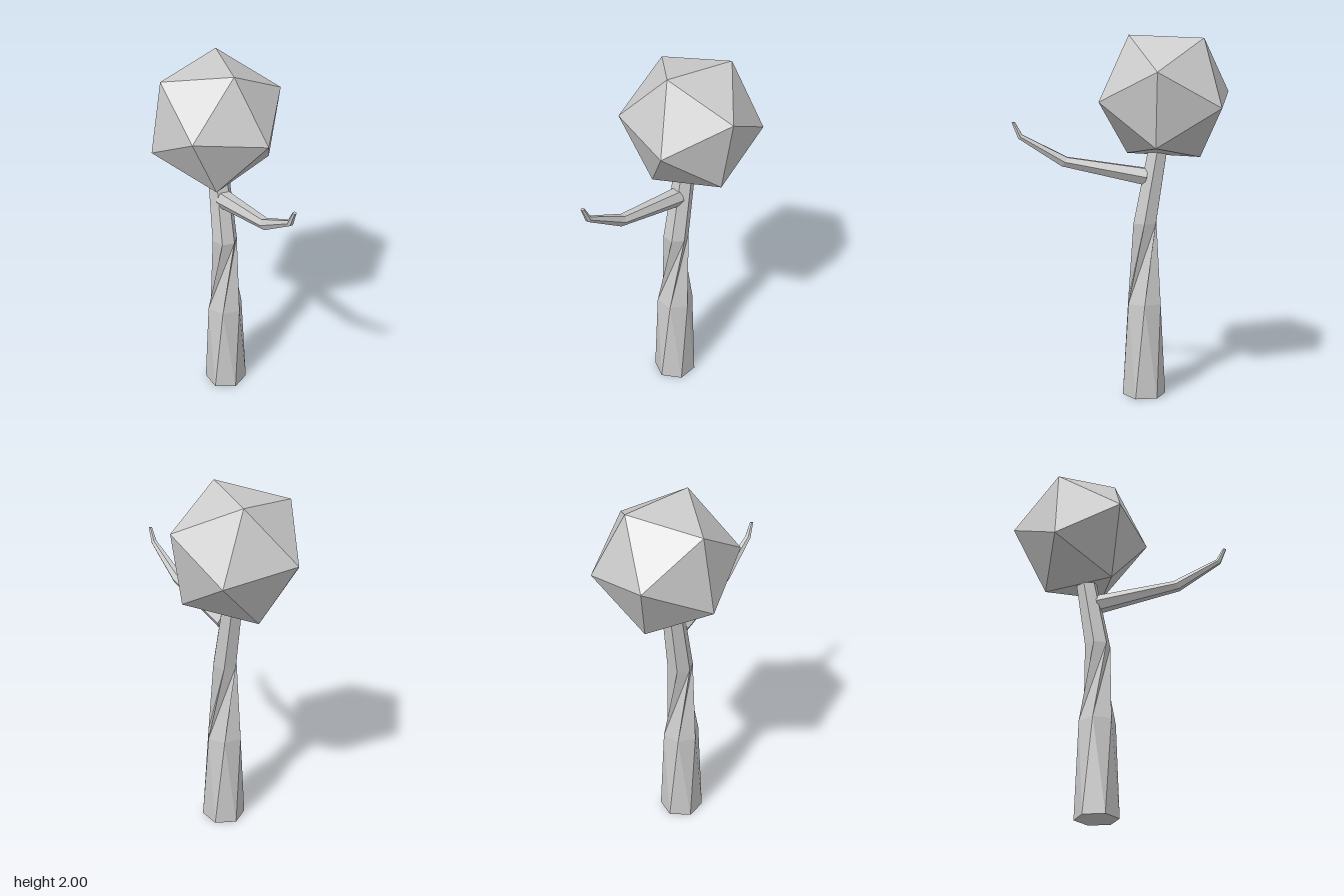
import * as THREE from 'three';

const SIDES = 6;
const material = () => new THREE.MeshStandardMaterial({ color: 0xcccccc, flatShading: true });

// Six-sided limb through rings { c: centre, r: radius, turn: degrees, tilt: of the ring's second axis }
function limb(name, rings, secondAxis) {
  const pos = [], index = [];
  for (const { c, r, turn = 0, tilt = 0 } of rings) {
    const v = secondAxis.clone().applyAxisAngle(new THREE.Vector3(1, 0, 0), tilt);
    for (let j = 0; j < SIDES; j++) {
      const a = THREE.MathUtils.degToRad(turn) + (j / SIDES) * Math.PI * 2;
      const s = r * Math.sin(a);
      pos.push(c[0] + r * Math.cos(a), c[1] + s * v.y, c[2] + s * v.z);
    }
  }
  const last = (rings.length - 1) * SIDES;
  for (let i = 0; i < last; i += SIDES) {
    for (let j = 0; j < SIDES; j++) {
      const k = (j + 1) % SIDES;
      const a = i + j, b = i + k, c = a + SIDES, d = b + SIDES;
      index.push(a, c, b, b, c, d);
    }
  }
  // end caps
  for (let j = 1; j < SIDES - 1; j++) {
    index.push(0, j, j + 1, last, last + j + 1, last + j);
  }
  const indexed = new THREE.BufferGeometry();
  indexed.setAttribute('position', new THREE.Float32BufferAttribute(pos, 3));
  indexed.setIndex(index);
  const geometry = indexed.toNonIndexed();
  geometry.computeVertexNormals();
  const mesh = new THREE.Mesh(geometry, material());
  mesh.name = name;
  return mesh;
}

export function createModel() {
  const tree = new THREE.Group();
  tree.name = 'tree';

  // Twisted trunk, leaning back near the top
  tree.add(limb('trunk', [
    { c: [-0.01, 0, -0.12], r: 0.12, turn: -30 },
    { c: [-0.012, 0.53, -0.12], r: 0.103, turn: 5.6 },
    { c: [-0.01, 0.98, -0.122], r: 0.071, turn: -50.7 },
    { c: [-0.01, 1.42, -0.197], r: 0.058, turn: -50.7 },
  ], new THREE.Vector3(0, 0, 1)));

  // Branch reaching forward and curling up
  tree.add(limb('branch', [
    { c: [-0.01, 1.235, -0.125], r: 0.052, tilt: -0.2 },
    { c: [-0.01, 1.322, 0.318], r: 0.033, tilt: -0.6 },
    { c: [-0.01, 1.46, 0.555], r: 0.017, tilt: -0.85 },
    { c: [-0.01, 1.538, 0.592], r: 0.01, tilt: -1.3 },
  ], new THREE.Vector3(0, -1, 0)));

  // Faceted crown, turned so that its uppermost edge runs from a to b
  const a = new THREE.Vector3(0, 0.33, 0.197);
  const b = new THREE.Vector3(0.105, 0.315, -0.193);
  const x = b.clone().sub(a).normalize();
  const z = x.clone().cross(a.clone().add(b)).normalize();
  const y = z.clone().cross(x);
  const crown = new THREE.Mesh(new THREE.IcosahedronGeometry(0.385, 0), material());
  crown.name = 'crown';
  crown.quaternion.setFromRotationMatrix(new THREE.Matrix4().makeBasis(x, y, z));
  crown.position.set(0, 1.67, -0.227);
  tree.add(crown);

  return tree;
}
